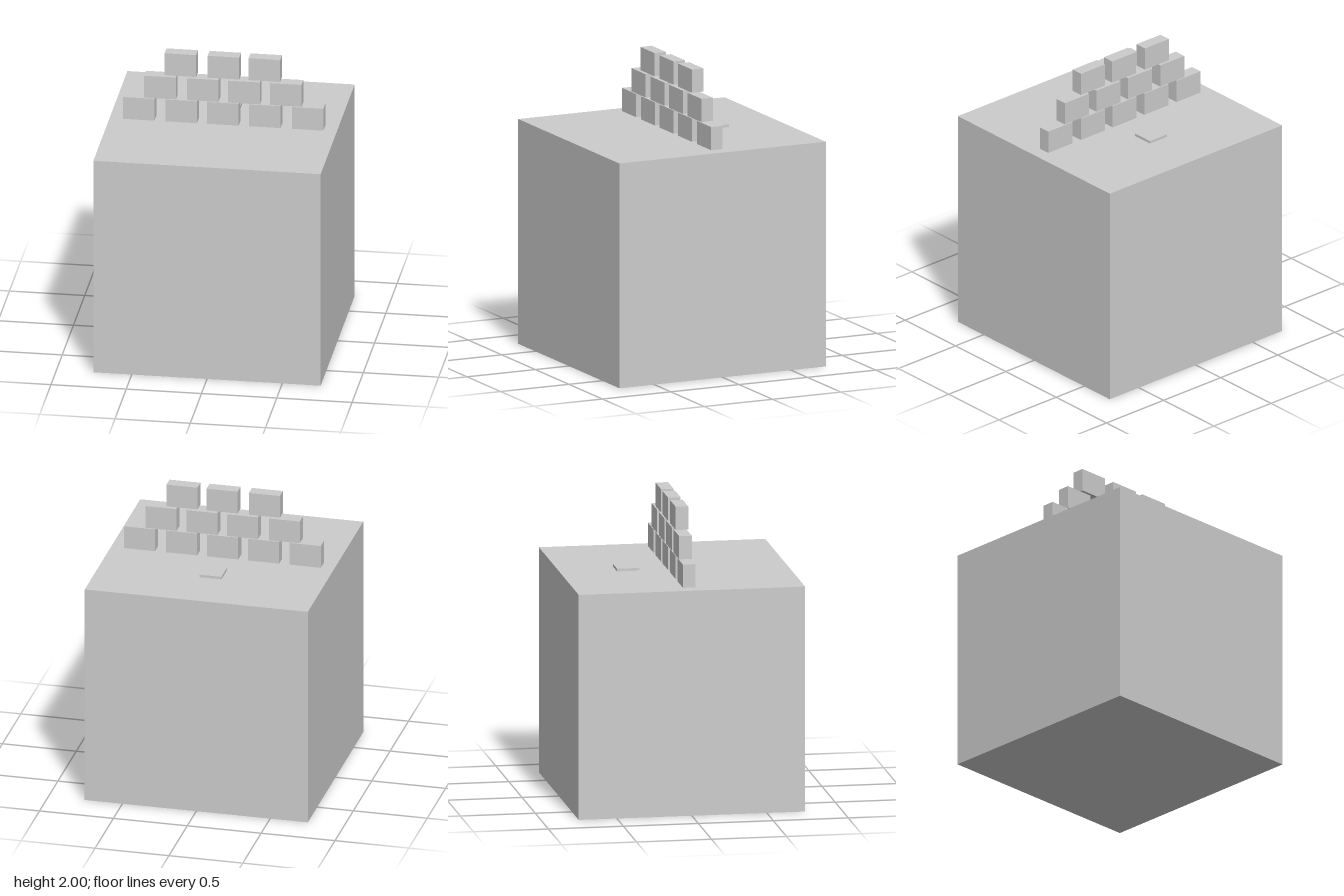
import * as THREE from 'three';

export function createModel() {
  const model = new THREE.Group();
  const material = new THREE.MeshStandardMaterial({ color: 0xcccccc, flatShading: true });

  // Box standing on height y
  const addBox = (parent, name, [w, h, d], x, y, z) => {
    const mesh = new THREE.Mesh(new THREE.BoxGeometry(w, h, d), material);
    mesh.name = name;
    mesh.position.set(x, y + h / 2, z);
    parent.add(mesh);
  };

  // Large cube and the thin square plate behind the wall
  addBox(model, 'baseBlock', [1.51, 1.512, 1.51], 0, 0, 0);
  addBox(model, 'plate', [0.15, 0.018, 0.15], -0.002, 1.512, -0.305);

  // Staggered wall of loose bricks, one row per entry
  const wall = new THREE.Group();
  wall.name = 'brickWall';
  model.add(wall);
  const rows = [
    { y: 1.514, xs: [-0.561, -0.279, -0.002, 0.276, 0.561] },
    { y: 1.675, xs: [-0.419, -0.136, 0.139, 0.416] },
    { y: 1.844, xs: [-0.284, 0.002, 0.274] },
  ];
  rows.forEach(({ y, xs }, r) => xs.forEach((x, i) =>
    addBox(wall, `brickRow${r + 1}Number${i + 1}`, [0.21, 0.156, 0.084], x, y, -0.002)));

  return model;
}
